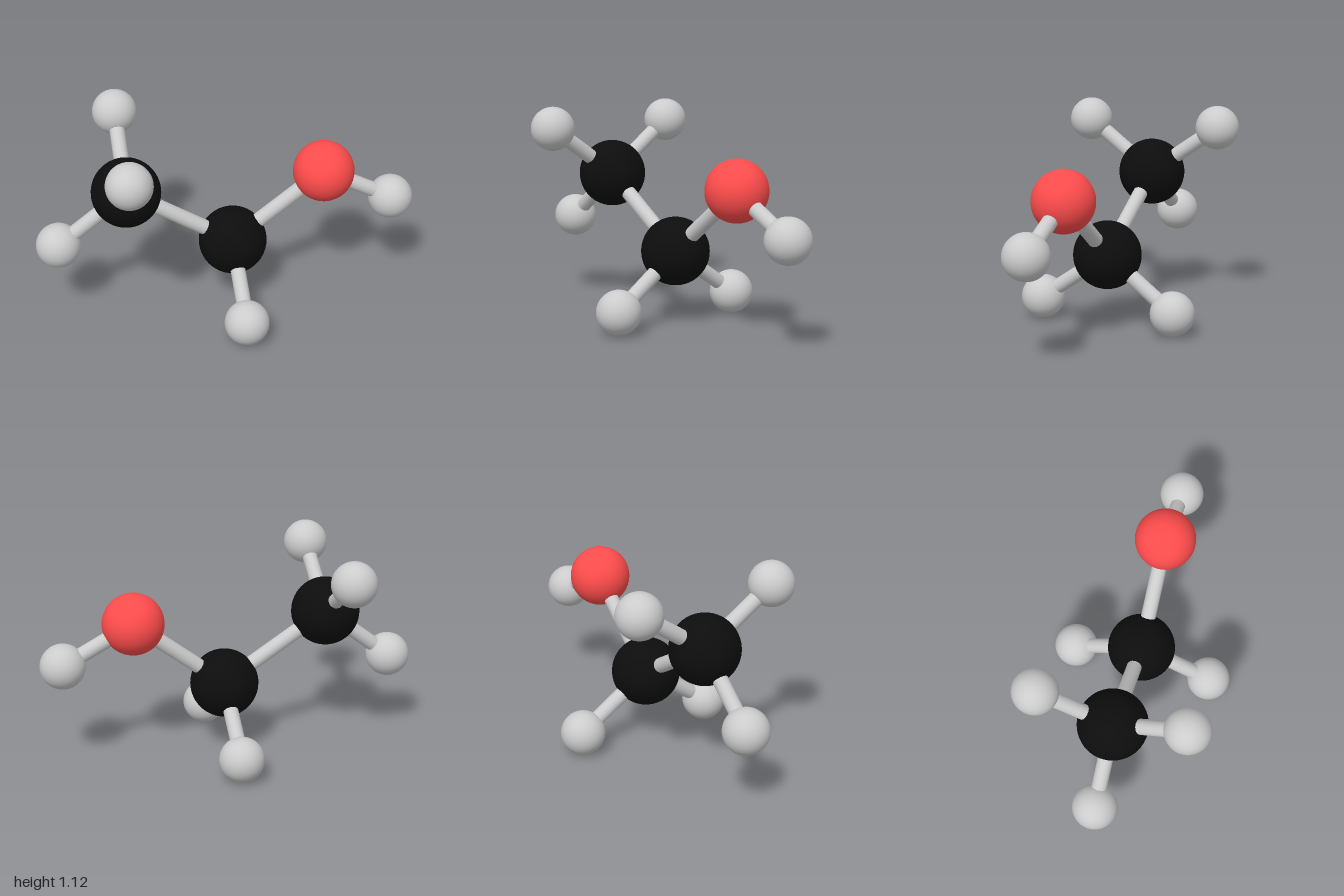
import * as THREE from 'three';

const material = (color) => new THREE.MeshStandardMaterial({ color });

export function createModel() {
  const model = new THREE.Group();
  model.name = 'ballAndStickMolecule';

  const grey = material(0xcccccc);
  const black = material(0x0d0d0d);
  const red = material(0xff4c4c);
  const kinds = {
    carbon: { radius: 0.18, material: black },
    oxygen: { radius: 0.16, material: red },
    hydrogen: { radius: 0.117, material: grey },
  };
  for (const kind of Object.values(kinds)) {
    kind.geometry = new THREE.SphereGeometry(kind.radius, 48, 32);
  }

  // Ball at an atom position
  function atom(name, kind, x, y, z = 0) {
    const ball = new THREE.Mesh(kinds[kind].geometry, kinds[kind].material);
    ball.name = name;
    ball.position.set(x, y, z);
    model.add(ball);
    return ball;
  }

  // Rod running between two ball centres
  const up = new THREE.Vector3(0, 1, 0);
  function bond(name, a, b) {
    const span = b.position.clone().sub(a.position);
    const rod = new THREE.Mesh(new THREE.CylinderGeometry(0.04, 0.04, span.length(), 16), grey);
    rod.name = name;
    rod.position.copy(a.position).addScaledVector(span, 0.5);
    rod.quaternion.setFromUnitVectors(up, span.normalize());
    model.add(rod);
  }

  // Backbone in the z = 0 plane
  const endCarbon = atom('endCarbon', 'carbon', -0.52, 0.738);
  const midCarbon = atom('middleCarbon', 'carbon', 0.034, 0.388);
  const oxygen = atom('oxygen', 'oxygen', 0.514, 0.767);
  const endHydrogen = atom('endHydrogen', 'hydrogen', -0.883, 0.453);
  const oxygenHydrogen = atom('oxygenHydrogen', 'hydrogen', 0.883, 0.575);
  bond('carbonBond', endCarbon, midCarbon);
  bond('oxygenBond', midCarbon, oxygen);
  bond('endHydrogenBond', endCarbon, endHydrogen);
  bond('oxygenHydrogenBond', oxygen, oxygenHydrogen);

  // Mirrored hydrogens in front of and behind each carbon
  for (const [side, sign] of [['front', 1], ['back', -1]]) {
    const upper = atom(side + 'UpperHydrogen', 'hydrogen', -0.532, 1.007, sign * 0.38);
    const lower = atom(side + 'LowerHydrogen', 'hydrogen', 0.046, 0.119, sign * 0.38);
    bond(side + 'UpperBond', endCarbon, upper);
    bond(side + 'LowerBond', midCarbon, lower);
  }

  return model;
}
